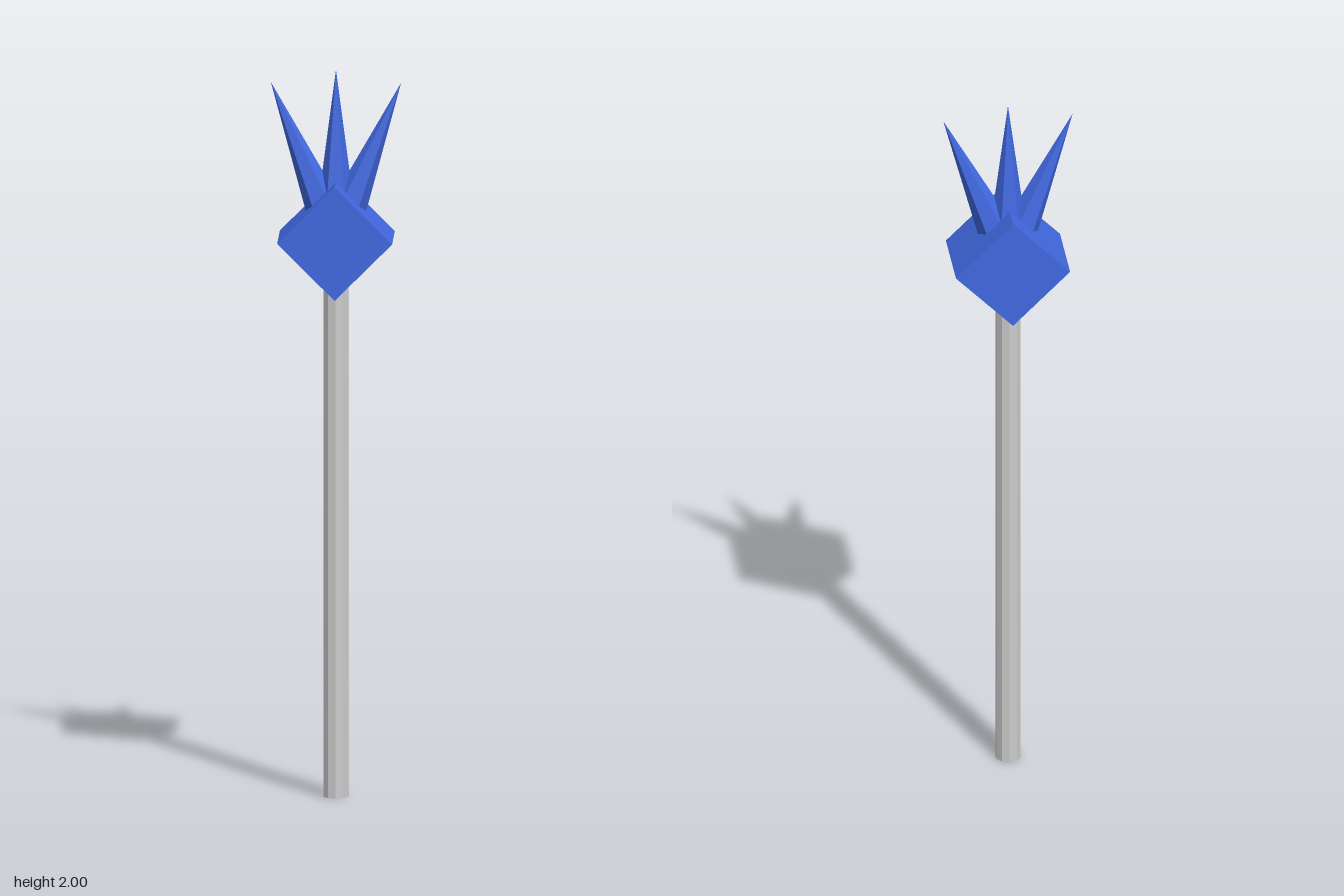
import * as THREE from 'three';

export function createModel() {
  const group = new THREE.Group();
  const grey = new THREE.MeshStandardMaterial({ color: 0xcccccc, flatShading: true });
  const blue = new THREE.MeshStandardMaterial({ color: 0x4169e1, flatShading: true });
  const headY = 1.54, headSize = 0.221, shaftHeight = 1.45, spikeLength = 0.463;

  const add = (name, geometry, material) => {
    const mesh = new THREE.Mesh(geometry, material);
    mesh.name = name;
    group.add(mesh);
    return mesh;
  };

  // Shaft, ending inside the head
  add('shaft', new THREE.CylinderGeometry(0.035, 0.035, shaftHeight, 10), grey)
    .position.y = shaftHeight / 2;

  // Cube head standing on one edge
  const head = add('head', new THREE.BoxGeometry(headSize, headSize, headSize), blue);
  head.position.y = headY;
  head.rotation.z = Math.PI / 4;

  // Three spikes fanning out from the centre of the head
  const spike = new THREE.ConeGeometry(0.061, spikeLength, 6);
  spike.rotateY(Math.PI / 6).translate(0, spikeLength / 2, 0);
  const fan = { leftSpike: -1, middleSpike: 0, rightSpike: 1 };
  for (const [name, side] of Object.entries(fan)) {
    const mesh = add(name, spike, blue);
    mesh.position.y = headY;
    mesh.rotation.z = side * Math.PI / 8;
  }

  return group;
}
